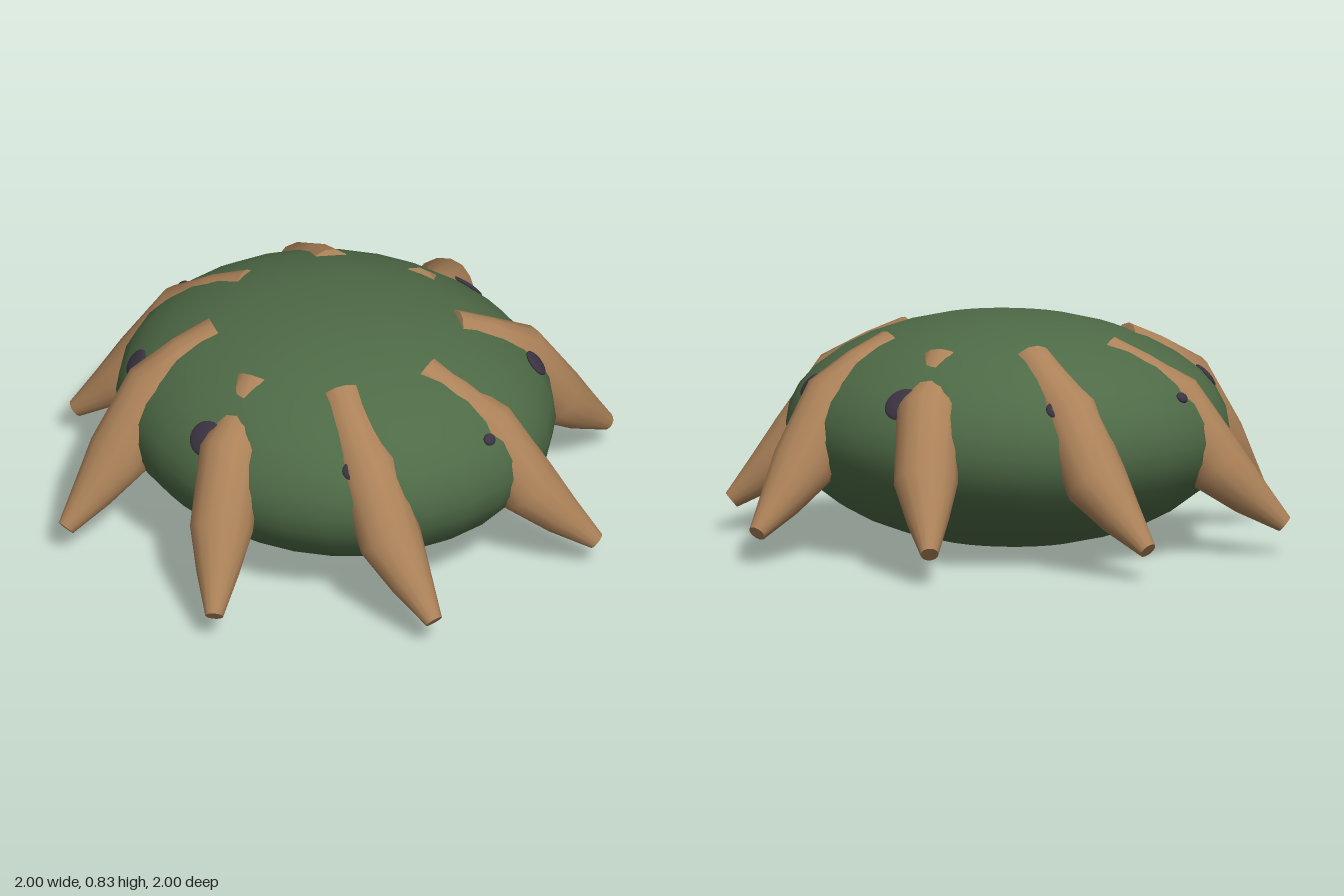
import * as THREE from 'three';

const shellGreen = new THREE.MeshStandardMaterial({ color: 0x4e6a46 });
shellGreen.name = 'shellGreen';
const legTan = new THREE.MeshStandardMaterial({ color: 0xac8259 });
legTan.name = 'legTan';
const spotDark = new THREE.MeshStandardMaterial({ color: 0x3c3442 });
spotDark.name = 'spotDark';

const BODY = new THREE.Vector3(0.745, 0.415, 0.815); // body half-sizes

// Round tapered limb through stations [x, y, z, radius], capped at both ends
function limbGeometry(stations, sides = 14) {
  const centers = stations.map(([x, y, z]) => new THREE.Vector3(x, y, z));
  const last = centers.length - 1;
  const pos = [], index = [];
  const rings = centers.map((c, i) => {
    const t = new THREE.Vector3()
      .subVectors(centers[Math.min(i + 1, last)], centers[Math.max(i - 1, 0)]).normalize();
    const u = new THREE.Vector3(1, 0, 0).addScaledVector(t, -t.x).normalize();
    const v = new THREE.Vector3().crossVectors(t, u);
    return Array.from({ length: sides }, (_, j) => {
      const a = (j / sides) * Math.PI * 2;
      return c.clone()
        .addScaledVector(u, Math.cos(a) * stations[i][3])
        .addScaledVector(v, Math.sin(a) * stations[i][3]);
    });
  });
  rings.flat().forEach((p) => pos.push(p.x, p.y, p.z));
  for (let i = 0; i < last; i++) {
    for (let j = 0; j < sides; j++) {
      const k = (j + 1) % sides;
      const a = i * sides + j, b = i * sides + k;
      index.push(a, b, b + sides, a, b + sides, a + sides);
    }
  }
  // End caps with their own vertices so the rims stay sharp
  for (const end of [0, last]) {
    const base = pos.length / 3;
    [centers[end], ...rings[end]].forEach((p) => pos.push(p.x, p.y, p.z));
    for (let j = 0; j < sides; j++) {
      const a = base + 1 + j, b = base + 1 + ((j + 1) % sides);
      if (end === 0) index.push(base, b, a);
      else index.push(base, a, b);
    }
  }
  const g = new THREE.BufferGeometry();
  g.setAttribute('position', new THREE.Float32BufferAttribute(pos, 3));
  g.setIndex(index);
  g.computeVertexNormals();
  return g;
}

export function createModel() {
  const model = new THREE.Group();
  model.name = 'eightLeggedShell';

  // Flattened oval body
  const body = new THREE.Mesh(new THREE.SphereGeometry(1, 28, 18), shellGreen);
  body.name = 'body';
  body.scale.copy(BODY);
  body.position.y = BODY.y;
  model.add(body);

  // Legs run outward along local +z and sweep sideways; the side pair dips into the shell
  const makeLeg = (dip) => limbGeometry([
    [0, 0.7 - dip * 0.12, 0.41, 0.085],
    [0.035, 0.64 - dip, 0.53, 0.09],
    [0.085, 0.555, 0.645, 0.112],
    [0.165, 0.325, 0.78, 0.114],
    [0.235, 0.215, 0.875, 0.077],
    [0.31, 0.11, 0.975, 0.032],
  ]);
  const plainLeg = makeLeg(0), dippedLeg = makeLeg(0.05);

  // Spots lie almost flush on the shell, largest at the sides and tiny at front and back
  const spotGeometry = new THREE.SphereGeometry(1, 16, 12);
  const spotSizes = [0.022, 0.05, 0.065, 0.035];
  const spotHeight = 0.41; // share of the body's half-height above its middle
  const ring = Math.sqrt(1 - spotHeight ** 2);

  for (let i = 0; i < 8; i++) {
    const angle = (i * Math.PI) / 4;
    const leg = new THREE.Mesh(i % 4 === 2 ? dippedLeg : plainLeg, legTan);
    leg.name = `leg${i + 1}`;
    leg.rotation.y = angle;
    model.add(leg);

    const unit = new THREE.Vector3(ring * Math.sin(angle), spotHeight, ring * Math.cos(angle));
    const spot = new THREE.Mesh(spotGeometry, spotDark);
    spot.name = `spot${i + 1}`;
    spot.position.copy(unit).multiply(BODY).add(body.position);
    spot.lookAt(unit.clone().divide(BODY).add(spot.position));
    const size = spotSizes[i % 4];
    spot.scale.set(size * 1.1, size, 0.014);
    model.add(spot);
  }
  return model;
}
